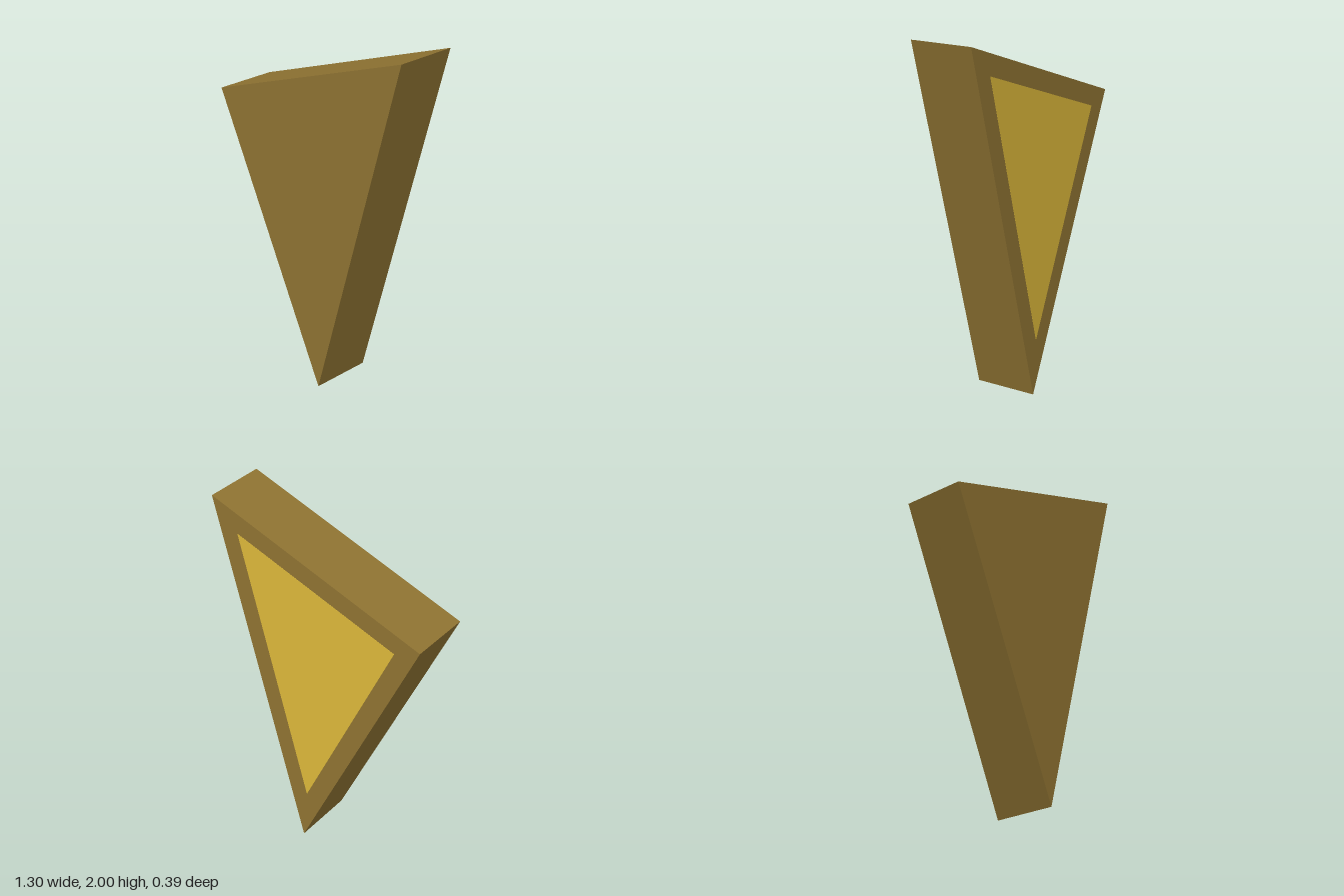
import * as THREE from 'three';

const DEPTH = 0.355;
const TURN = -0.024; // slight twist about the vertical axis

// Outline: right-hand top, left-hand top, bottom tip
const corners = [
  new THREE.Vector2(0.646, 2),
  new THREE.Vector2(-0.648, 1.56),
  new THREE.Vector2(0.085, 0),
];

// Centre of the inscribed circle, so the inset has an even border
function incentre([a, b, c]) {
  const la = b.distanceTo(c), lb = a.distanceTo(c), lc = a.distanceTo(b);
  return new THREE.Vector2()
    .addScaledVector(a, la)
    .addScaledVector(b, lb)
    .addScaledVector(c, lc)
    .divideScalar(la + lb + lc);
}

function slab(name, points, z, depth, color) {
  const geometry = new THREE.ExtrudeGeometry(new THREE.Shape(points), { depth, bevelEnabled: false });
  geometry.translate(0, 0, z);
  const mesh = new THREE.Mesh(geometry, new THREE.MeshStandardMaterial({ color }));
  mesh.name = name;
  return mesh;
}

export function createModel() {
  const group = new THREE.Group();
  group.name = 'triangularWedge';

  // Solid triangular body
  group.add(slab('body', corners, -DEPTH / 2, DEPTH, 0x8f7332));

  // Brighter panel set flush in the back face
  const centre = incentre(corners);
  const inset = corners.map((p) => centre.clone().lerp(p, 0.76));
  group.add(slab('backPanel', inset, -DEPTH / 2 - 0.001, 0.002, 0xdcb83a));

  group.rotation.y = TURN;
  return group;
}
